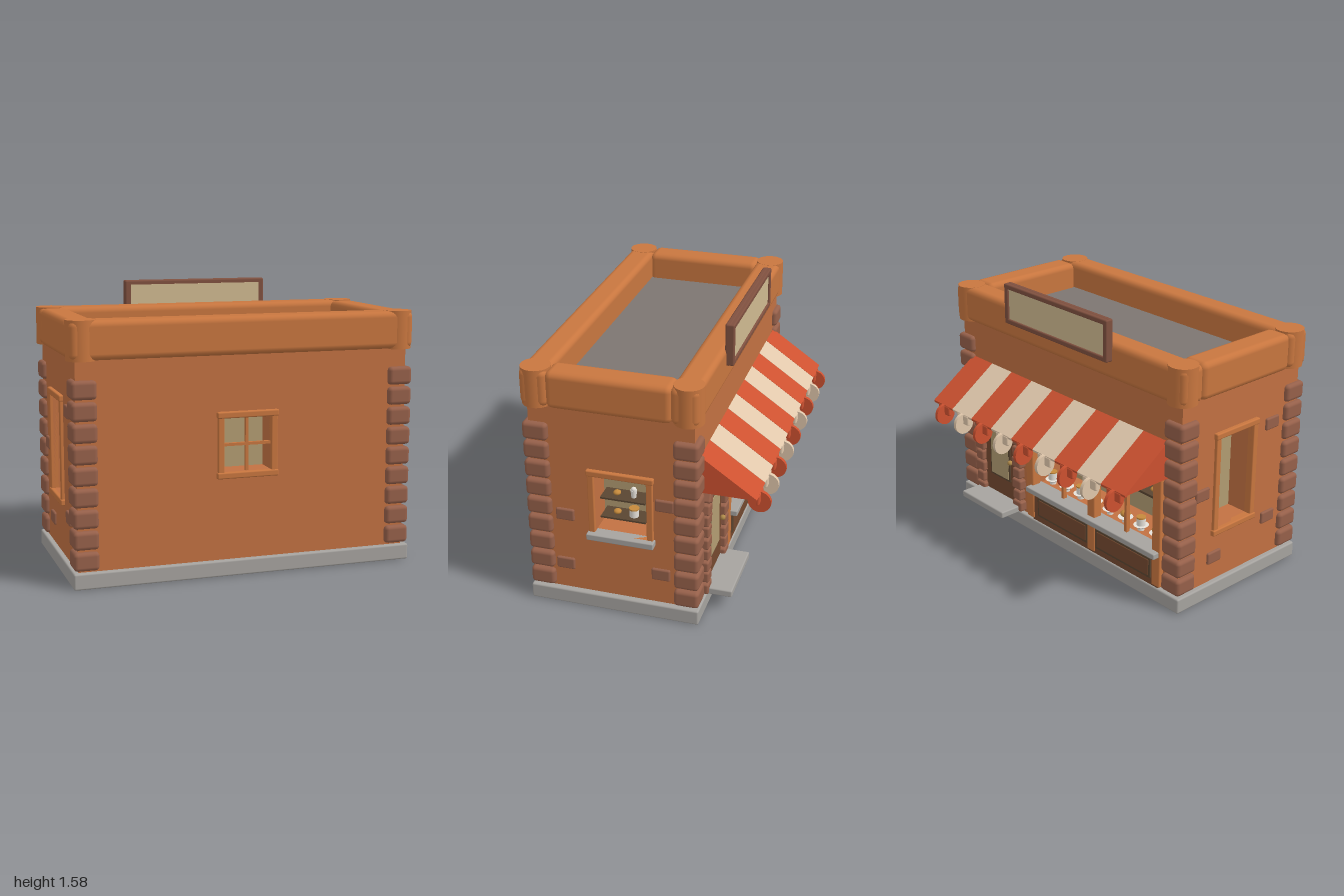
import * as THREE from 'three';
import { RoundedBoxGeometry } from 'three/addons/geometries/RoundedBoxGeometry.js';

const mat = (color, double) => new THREE.MeshStandardMaterial({ color, side: double ? THREE.DoubleSide : THREE.FrontSide });
const M = {
  wall: mat(0xc27142), trim: mat(0xc8763f), brick: mat(0x96604a), stone: mat(0xa6a39f), roof: mat(0x7d7571),
  cream: mat(0xe0c7ab, true), red: mat(0xcd5130, true), tan: mat(0xb29c72), wood: mat(0x74492f),
  dark: mat(0x5a4632), board: mat(0x7f503f), sign: mat(0xcfb990), white: mat(0xe6e2da), crust: mat(0xc58a3c), metal: mat(0xb08a4a),
};

function add(parent, name, geo, material, x = 0, y = 0, z = 0) {
  const m = new THREE.Mesh(geo, material);
  m.name = name;
  m.position.set(x, y, z);
  parent.add(m);
  return m;
}
// box given by its limits; r > 0 rounds the edges
function box(parent, name, material, x0, x1, y0, y1, z0, z1, r = 0) {
  const w = x1 - x0, h = y1 - y0, d = z1 - z0;
  const geo = r ? new RoundedBoxGeometry(w, h, d, 2, r) : new THREE.BoxGeometry(w, h, d);
  return add(parent, name, geo, material, (x0 + x1) / 2, (y0 + y1) / 2, (z0 + z1) / 2);
}
function cyl(parent, name, material, r, h, x, y, z, r2 = r) {
  return add(parent, name, new THREE.CylinderGeometry(r2, r, h, 24), material, x, y, z);
}
function rect(P, x0, x1, y0, y1) {
  return new P([[x0, y0], [x1, y0], [x1, y1], [x0, y1]].map(p => new THREE.Vector2(...p)));
}
// wall with its outer face on local z = 0, a hole and a backing panel behind the hole
function wall(root, name, x, z, turn, u0, u1, depth, hole) {
  const g = new THREE.Group();
  g.name = name;
  g.position.set(x, 0, z);
  g.rotation.y = turn;
  root.add(g);
  const s = rect(THREE.Shape, u0, u1, 0.08, 1.27);
  s.holes.push(rect(THREE.Path, ...hole));
  add(g, name + 'Panel', new THREE.ExtrudeGeometry(s, { depth, bevelEnabled: false }), M.wall, 0, 0, -depth);
  const [a, b, c, d] = hole;
  box(g, 'backing', M.tan, a - 0.02, b + 0.02, c - 0.02, d + 0.02, -depth - 0.02, -depth + 0.002);
  return g;
}
function frame(g, [a, b, c, d], t = 0.036) {
  for (const u of [a - t, b]) box(g, 'frameSide', M.trim, u, u + t, c - t, d + t, -0.03, 0.018, 0.006);
  for (const y of [c - t, d]) box(g, 'frameRail', M.trim, a - t - 0.006, b + t + 0.006, y, y + t, -0.03, 0.024, 0.008);
}
function bun(g, x, y, z, s = 1) {
  add(g, 'bun', new THREE.SphereGeometry(0.022 * s, 16, 10), M.crust, x, y + 0.014 * s, z).scale.y = 0.65;
}
function cake(g, x, y, z) {
  cyl(g, 'cake', M.white, 0.026, 0.045, x, y + 0.0225, z);
  cyl(g, 'cakeTop', M.crust, 0.028, 0.008, x, y + 0.048, z);
}
function cup(g, x, y, z) {
  cyl(g, 'cup', M.white, 0.014, 0.045, x, y + 0.0225, z, 0.018);
  add(g, 'cupTop', new THREE.SphereGeometry(0.015, 12, 8), M.white, x, y + 0.048, z);
}
function plate(g, x, y, z) {
  cyl(g, 'plateFoot', M.white, 0.02, 0.02, x, y + 0.01, z);
  cyl(g, 'plate', M.white, 0.03, 0.012, x, y + 0.026, z, 0.045);
}

export function createModel() {
  const root = new THREE.Group();
  root.name = 'cornerShop';
  box(root, 'plinth', M.stone, -0.99, 0.975, 0, 0.09, -0.325, 0.655, 0.01);
  box(root, 'roof', M.roof, -0.86, 0.84, 1.2, 1.28, -0.2, 0.54);

  // parapet beams and round corner posts
  for (const [z0, z1] of [[0.5, 0.655], [-0.325, -0.17]]) box(root, 'parapetLong', M.trim, -0.99, 0.975, 1.228, 1.44, z0, z1, 0.035);
  for (const [x0, x1] of [[-0.99, -0.83], [0.815, 0.975]]) box(root, 'parapetShort', M.trim, x0, x1, 1.226, 1.438, -0.18, 0.51, 0.035);
  for (const x of [-0.917, 0.902]) for (const z of [0.58, -0.255]) {
    cyl(root, 'parapetPost', M.trim, 0.082, 0.215, x, 1.3335, z);
    // stacked corner stones
    const cz = z > 0 ? 0.585 : -0.253;
    for (let i = 0; i < 9; i++) {
      const y = 0.1 + i * 0.1155;
      box(root, 'cornerStone', M.brick, x - 0.07, x + 0.07, y, y + 0.102, cz - 0.071, cz + 0.071, 0.022);
    }
  }

  // plain wall with a small four-pane window
  let h = [-0.142, 0.13, 0.585, 0.885];
  const front = wall(root, 'frontWall', 0, 0.625, 0, -0.96, 0.94, 0.13, h);
  frame(front, h);
  box(front, 'mullion', M.trim, -0.014, 0.002, 0.585, 0.885, -0.025, -0.005);
  box(front, 'transom', M.trim, -0.142, 0.13, 0.727, 0.743, -0.025, -0.005);

  // +x wall: window with a small pastry display
  h = [-0.265, 0.03, 0.495, 0.845];
  const side = wall(root, 'displayWall', 0.94, 0, Math.PI / 2, -0.625, 0.295, 0.15, h);
  frame(side, h);
  box(side, 'sill', M.stone, -0.307, 0.075, 0.457, 0.495, -0.03, 0.05, 0.006);
  for (const y of [0.565, 0.685]) {
    box(side, 'shelf', M.dark, -0.247, 0.01, y, y + 0.01, -0.14, -0.03);
    bun(side, -0.165, y + 0.01, -0.08);
  }
  cake(side, -0.07, 0.575, -0.08);
  cup(side, -0.07, 0.695, -0.08);
  // -x wall: tall window
  h = [-0.005, 0.255, 0.415, 0.965];
  const tall = wall(root, 'tallWindowWall', -0.96, 0, -Math.PI / 2, -0.295, 0.625, 0.15, h);
  frame(tall, h);

  // loose bricks showing through the side walls
  for (const [g, u, y] of [[side, -0.44, 0.573], [side, -0.45, 0.252], [side, 0.13, 0.72], [side, 0.105, 0.277],
    [tall, 0.42, 0.93], [tall, 0.42, 0.34], [tall, -0.02, 0.24], [tall, -0.13, 0.66]])
    box(g, 'looseBrick', M.brick, u - 0.053, u + 0.053, y - 0.036, y + 0.036, -0.03, 0.014, 0.01);

  // shop side: local u runs toward -x
  h = [-0.27, 0.8, 0.32, 0.87];
  const shop = wall(root, 'shopWall', 0, -0.295, Math.PI, -0.94, 0.96, 0.25, h);
  for (const u of [-0.29, 0.27, 0.81]) box(shop, 'windowPost', M.trim, u - 0.032, u + 0.032, 0.1, 0.92, -0.03, 0.03, 0.008);
  for (const u of [-0.01, 0.54]) box(shop, 'thinMullion', M.trim, u - 0.01, u + 0.01, 0.32, 0.87, -0.02, 0.005);
  box(shop, 'windowHeader', M.trim, -0.32, 0.84, 0.865, 0.92, -0.03, 0.025, 0.008);
  box(shop, 'shopSill', M.stone, -0.28, 0.835, 0.29, 0.325, -0.05, 0.07, 0.006);
  box(shop, 'lowerPanel', M.wood, -0.27, 0.825, 0.09, 0.29, -0.01, 0.022);
  for (const u of [-0.22, 0.31]) {
    box(shop, 'insetFrame', M.dark, u, u + 0.46, 0.13, 0.26, 0.01, 0.03, 0.006);
    box(shop, 'insetPanel', M.wood, u + 0.014, u + 0.446, 0.144, 0.246, 0.02, 0.034, 0.005);
  }
  for (const y of [0.52, 0.69]) box(shop, 'shopShelf', M.dark, -0.26, 0.79, y, y + 0.014, -0.245, -0.13);
  for (let i = 0; i < 8; i++) {
    const u = -0.2 + i * 0.13;
    plate(shop, u, 0.325, -0.08);
    if (i % 2) bun(shop, u, 0.357, -0.08, 1.4); else cake(shop, u, 0.357, -0.08);
    if (i % 2) cup(shop, u, 0.534, -0.18); else bun(shop, u, 0.534, -0.18);
    if (i % 3) bun(shop, u, 0.704, -0.18); else cake(shop, u, 0.704, -0.18);
  }

  // arched door with brick surround
  const door = new THREE.Group();
  door.name = 'door';
  door.position.x = -0.595;
  shop.add(door);
  const leaf = new THREE.Shape();
  leaf.moveTo(-0.15, 0.09).lineTo(0.15, 0.09).lineTo(0.15, 0.6).absarc(0, 0.6, 0.15, 0, Math.PI, false).lineTo(-0.15, 0.09);
  add(door, 'doorLeaf', new THREE.ExtrudeGeometry(leaf, { depth: 0.02, bevelEnabled: false, curveSegments: 20 }), M.wood, 0, 0, -0.005);
  box(door, 'doorGlassFrame', M.dark, -0.1, 0.1, 0.25, 0.64, 0.01, 0.021, 0.005);
  box(door, 'doorGlass', M.tan, -0.085, 0.085, 0.265, 0.625, 0.01, 0.024);
  add(door, 'doorKnob', new THREE.SphereGeometry(0.016, 12, 8), M.metal, 0.12, 0.4, 0.035);
  for (const s of [-1, 1]) for (let i = 0; i < 7; i++) {
    const w = i % 2 ? 0.034 : 0.042, y = 0.1 + i * 0.074;
    box(door, 'jambBrick', M.brick, s * 0.185 - w, s * 0.185 + w, y, y + 0.066, -0.02, 0.045, 0.012);
  }
  for (let i = 0; i < 9; i++) {
    const a = Math.PI * (i + 0.5) / 9;
    const b = add(door, 'archBrick', new RoundedBoxGeometry(0.07, 0.062, 0.065, 2, 0.012), M.brick, 0.18 * Math.cos(a), 0.605 + 0.18 * Math.sin(a), 0.0125);
    b.rotation.z = a;
  }
  box(door, 'doorStep', M.stone, -0.205, 0.205, 0.093, 0.135, -0.02, 0.175, 0.008);

  // striped awning: slanted slats, end panels and hanging discs
  const awning = new THREE.Group();
  awning.name = 'awning';
  root.add(awning);
  const slat = new THREE.Shape([[-0.3, 1.0], [-0.61, 0.785], [-0.605, 0.77], [-0.3, 0.98]].map(p => new THREE.Vector2(...p)));
  const end = new THREE.Shape([[-0.29, 0.985], [-0.6, 0.78], [-0.29, 0.78]].map(p => new THREE.Vector2(...p)));
  // profile is drawn in (z, y) and swept along x
  const sweep = (name, shape, depth, material, x) => {
    const geo = new THREE.ExtrudeGeometry(shape, { depth, bevelEnabled: false });
    geo.rotateY(-Math.PI / 2);
    add(awning, name, geo, material, x + depth, 0, 0);
    // the turn maps shape x to +z and depth to -x
  };
  for (let i = 0; i < 9; i++) {
    const x = -0.865 + i * 0.191, m = i % 2 ? M.cream : M.red;
    sweep('awningStripe', slat, 0.189, m, x);
    const disc = cyl(awning, 'hangingDisc', m, 0.064, 0.022, x + 0.09, 0.723, -0.603);
    disc.rotation.z = Math.PI / 2;
    box(awning, 'discHanger', m, x + 0.035, x + 0.145, 0.722, 0.782, -0.612, -0.592, 0.009);
  }
  sweep('awningEnd', end, 0.012, M.red, -0.863);
  sweep('awningEnd', end, 0.012, M.red, 0.838);

  // blank sign board above the parapet
  box(root, 'signBoard', M.board, -0.45, 0.432, 1.335, 1.58, -0.35, -0.315, 0.012);
  box(root, 'signFace', M.sign, -0.415, 0.398, 1.368, 1.553, -0.357, -0.313);
  for (const x of [-0.45, 0.4]) box(root, 'signFrameSide', M.board, x, x + 0.032, 1.345, 1.57, -0.367, -0.33, 0.008);
  for (const y of [1.338, 1.548]) box(root, 'signFrameRail', M.board, -0.45, 0.432, y, y + 0.03, -0.367, -0.33, 0.008);
  return root;
}
